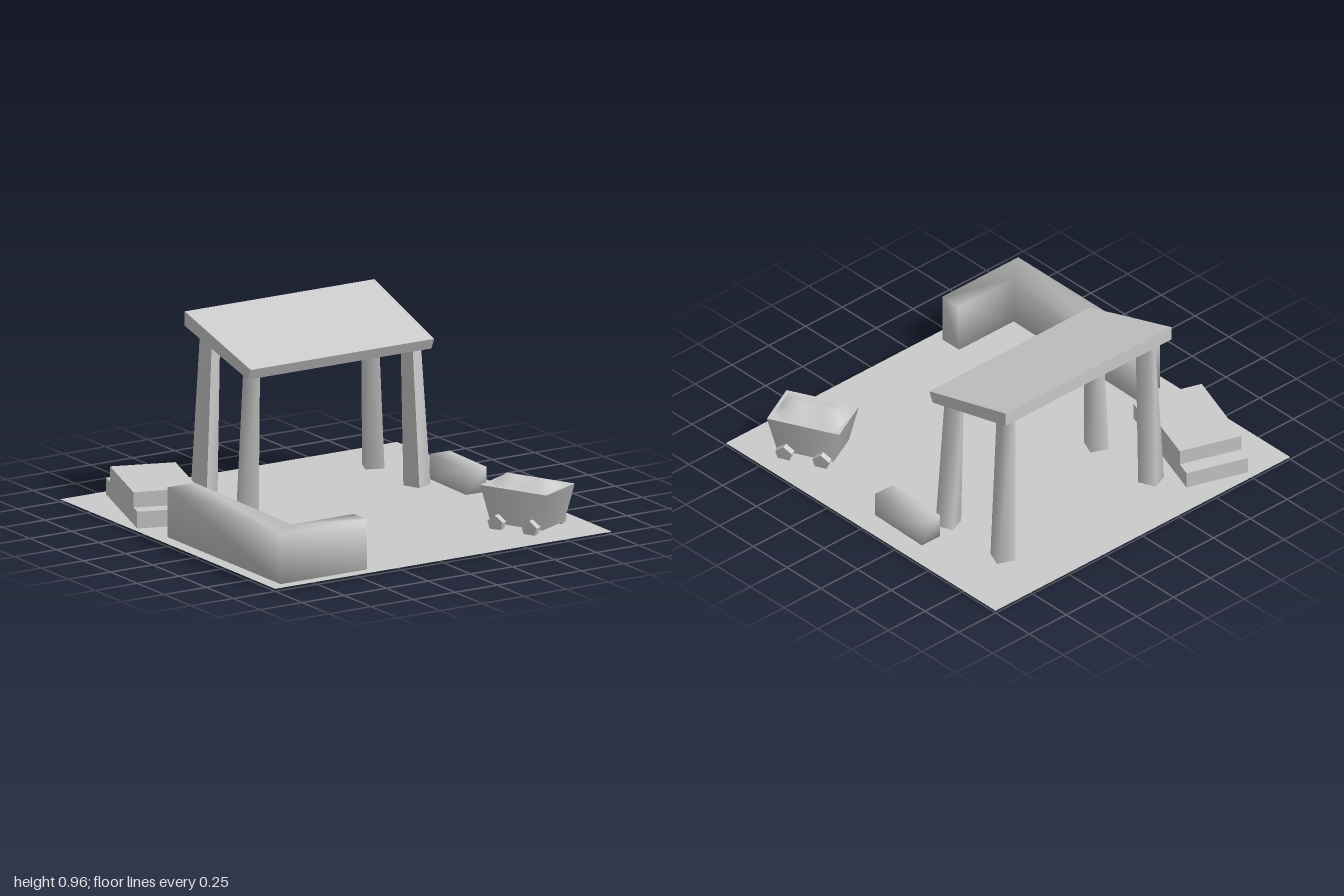
import * as THREE from 'three';
import { mergeVertices } from 'three/addons/utils/BufferGeometryUtils.js';

const GROUND = 0.013;
const material = new THREE.MeshStandardMaterial({ color: 0xcccccc });
const twoSided = new THREE.MeshStandardMaterial({ color: 0xcccccc, side: THREE.DoubleSide });
const flat = new THREE.MeshStandardMaterial({ color: 0xcccccc, flatShading: true });

function addMesh(parent, name, geometry, mat = material) {
  const mesh = new THREE.Mesh(geometry, mat);
  mesh.name = name;
  parent.add(mesh);
  return mesh;
}

// Share corner vertices so the shading runs softly over the edges
function soften(geometry) {
  geometry.deleteAttribute('uv');
  geometry.deleteAttribute('normal');
  const merged = mergeVertices(geometry);
  merged.computeVertexNormals();
  return merged;
}

function extrude(points, depth) {
  const shape = new THREE.Shape(points.map(([x, y]) => new THREE.Vector2(x, y)));
  return new THREE.ExtrudeGeometry(shape, { depth, bevelEnabled: false });
}

// Tapered square post leaning from its foot to its head
function postGeometry(foot, head, turn) {
  const g = new THREE.CylinderGeometry(0.051, 0.069, 1, 4);
  g.rotateY(turn);
  const p = g.attributes.position;
  for (let i = 0; i < p.count; i++) {
    const t = p.getY(i) + 0.5;
    p.setXYZ(i,
      p.getX(i) + THREE.MathUtils.lerp(foot.x, head.x, t),
      THREE.MathUtils.lerp(foot.y, head.y, t),
      p.getZ(i) + THREE.MathUtils.lerp(foot.z, head.z, t));
  }
  g.computeVertexNormals();
  return g;
}

// Sloping slab, a little wider and thicker at the back
function roofGeometry() {
  const g = new THREE.BoxGeometry(2, 2, 2);
  const p = g.attributes.position;
  for (let i = 0; i < p.count; i++) {
    const front = p.getZ(i) > 0;
    const top = p.getY(i) > 0;
    const half = front ? 0.545 : 0.563;
    const y = front ? (top ? 0.786 : 0.73) : (top ? 0.957 : 0.882);
    const z = front ? (top ? -0.175 : -0.2) : -0.76;
    p.setXYZ(i, 0.15 + Math.sign(p.getX(i)) * half, y, z);
  }
  g.computeVertexNormals();
  return g;
}

function createShelter() {
  const shelter = new THREE.Group();
  shelter.name = 'shelter';
  addMesh(shelter, 'roof', roofGeometry());
  for (const side of [-1, 1]) {
    for (const [label, footZ, headZ, headY, lean] of [
      ['front', -0.27, -0.28, 0.765, 1],
      ['back', -0.675, -0.665, 0.885, -1],
    ]) {
      const foot = new THREE.Vector3(0.15 + side * 0.503, GROUND, footZ);
      const head = new THREE.Vector3(0.15 + side * 0.472, headY, headZ);
      const turn = -side * lean * THREE.MathUtils.degToRad(22);
      addMesh(shelter, `${label}${side > 0 ? 'Left' : 'Right'}Post`, postGeometry(foot, head, turn));
    }
  }
  return shelter;
}

function createCart() {
  const cart = new THREE.Group();
  cart.name = 'cart';
  // Tub that narrows downwards
  const tub = new THREE.CylinderGeometry(Math.SQRT1_2, Math.SQRT1_2 * 0.78, 0.195, 4);
  tub.rotateY(Math.PI / 4).scale(0.27, 1, 0.39).translate(0, 0.13, 0);
  addMesh(cart, 'tub', tub);

  // Load with two low peaks
  const load = new THREE.PlaneGeometry(0.24, 0.36, 4, 6).rotateX(-Math.PI / 2);
  const p = load.attributes.position;
  for (let i = 0; i < p.count; i++) {
    const u = Math.abs(p.getX(i)) / 0.12;
    const v = Math.abs(p.getZ(i)) / 0.18;
    const ridge = v > 0.667 ? (1 - v) * 3 : 0.7 + 0.45 * v;
    p.setY(i, 0.226 + 0.046 * (1 - u) * ridge);
  }
  load.computeVertexNormals();
  addMesh(cart, 'load', load, twoSided);

  // Five-sided wheels
  for (const x of [-1, 1]) {
    for (const z of [-1, 1]) {
      const g = new THREE.CylinderGeometry(0.047, 0.047, 0.036, 5);
      g.rotateX(-Math.PI / 2).rotateY(Math.PI / 2);
      addMesh(cart, 'wheel', g, flat).position.set(x * 0.13, 0.038, z * 0.1);
    }
  }
  cart.position.set(0.706, 0, 0.675);
  cart.rotation.y = THREE.MathUtils.degToRad(26);
  return cart;
}

export function createModel() {
  const model = new THREE.Group();
  model.name = 'yard';

  const ground = new THREE.PlaneGeometry(2, 2).rotateX(-Math.PI / 2).translate(0, GROUND, 0);
  addMesh(model, 'ground', ground, twoSided);

  // L-shaped corner wall
  const wall = extrude([
    [-0.93, -0.11], [-0.77, -0.11], [-0.785, 0.815],
    [-0.415, 0.815], [-0.415, 0.94], [-0.93, 0.94],
  ], 0.272 - GROUND).rotateX(Math.PI / 2).translate(0, 0.272, 0);
  addMesh(model, 'cornerWall', soften(wall));

  // Stepped platform with a low tread at each end
  const steps = extrude([
    [-0.332, GROUND], [0.332, GROUND], [0.332, 0.1], [0.252, 0.1],
    [0.252, 0.18], [-0.248, 0.18], [-0.248, 0.1], [-0.332, 0.1],
  ], 0.337).rotateY(-Math.PI / 2).translate(0.1685, 0, 0);
  const platform = addMesh(model, 'steppedPlatform', steps);
  platform.position.set(-0.704, 0, -0.587);
  platform.rotation.y = THREE.MathUtils.degToRad(-19);

  // Low block beside the shelter
  const block = addMesh(model, 'lowBlock', soften(new THREE.BoxGeometry(0.12, 0.142 - GROUND, 0.355)));
  block.position.set(0.82, (0.142 + GROUND) / 2, -0.15);
  block.rotation.y = THREE.MathUtils.degToRad(-1.5);

  model.add(createShelter(), createCart());
  return model;
}
